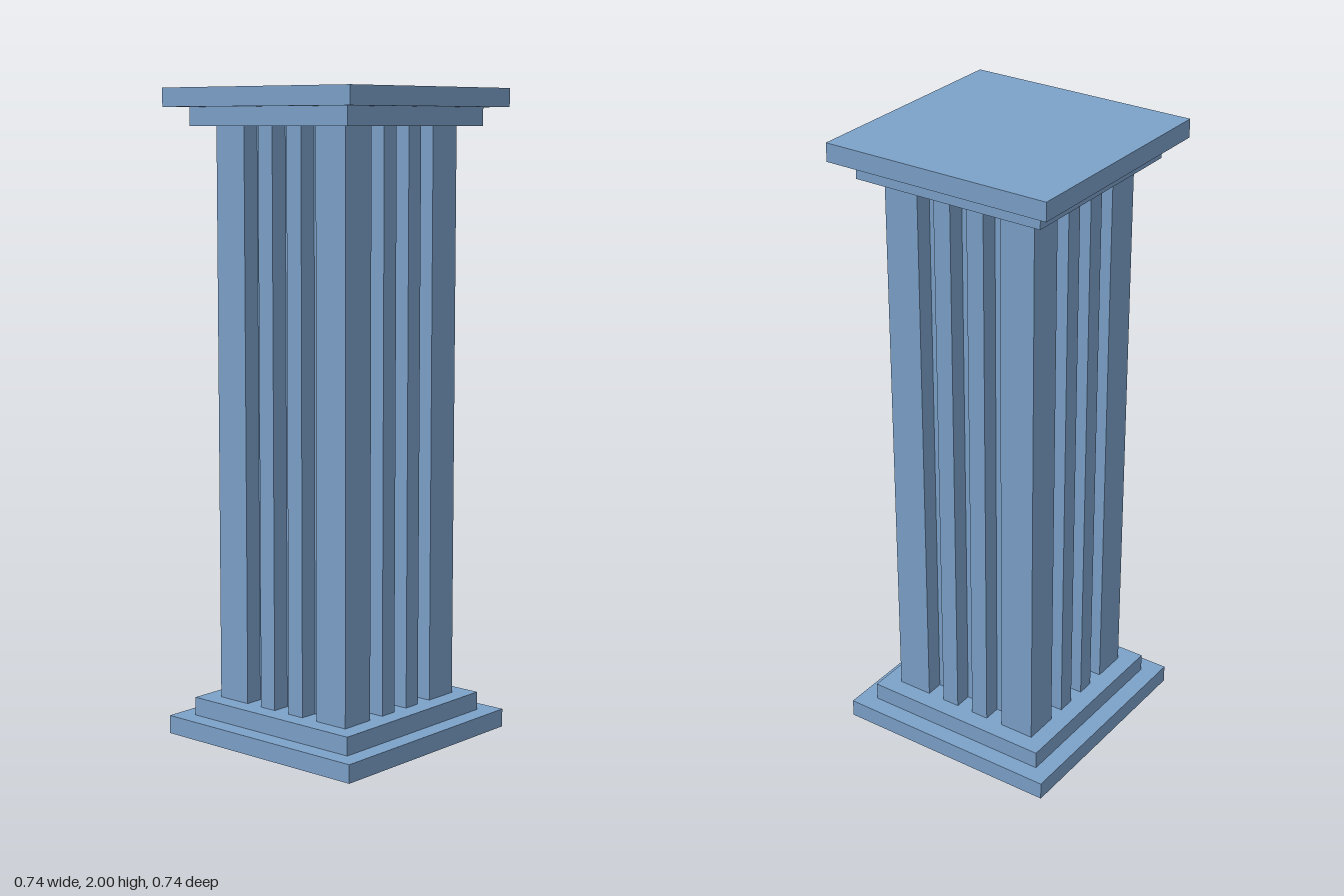
import * as THREE from 'three';

const U = 2 / 35; // module: step height, groove width and groove depth

export function createModel() {
  const group = new THREE.Group();
  const stone = new THREE.MeshStandardMaterial({ color: 0x7ca1c9 });
  stone.name = 'blue stone';

  const add = (name, geometry, y) => {
    const mesh = new THREE.Mesh(geometry, stone);
    mesh.name = name;
    mesh.position.y = y;
    group.add(mesh);
  };

  // Square slabs, mirrored at the foot and the head
  const slab = (name, width, y) => add(name, new THREE.BoxGeometry(width, U, width), y);
  slab('basePlinth', 13 * U, U / 2);
  slab('baseStep', 11 * U, 1.5 * U);
  slab('capitalStep', 11 * U, 2 - 1.5 * U);
  slab('capitalSlab', 13 * U, 2 - U / 2);

  // Square shaft outline with three square grooves on each side
  const half = 4.5 * U;
  const points = [];
  for (let side = 0; side < 4; side++) {
    const c = Math.round(Math.cos(side * Math.PI / 2));
    const s = Math.round(Math.sin(side * Math.PI / 2));
    const put = (x, y) => points.push(new THREE.Vector2(x * c - y * s, x * s + y * c));
    put(-half, -half);
    for (const centre of [-2 * U, 0, 2 * U]) {
      put(centre - U / 2, -half);
      put(centre - U / 2, -half + U);
      put(centre + U / 2, -half + U);
      put(centre + U / 2, -half);
    }
  }
  const shaft = new THREE.ExtrudeGeometry(new THREE.Shape(points), {
    depth: 2 - 4 * U,
    bevelEnabled: false,
  });
  shaft.rotateX(-Math.PI / 2);
  add('flutedShaft', shaft, 2 * U);

  return group;
}
